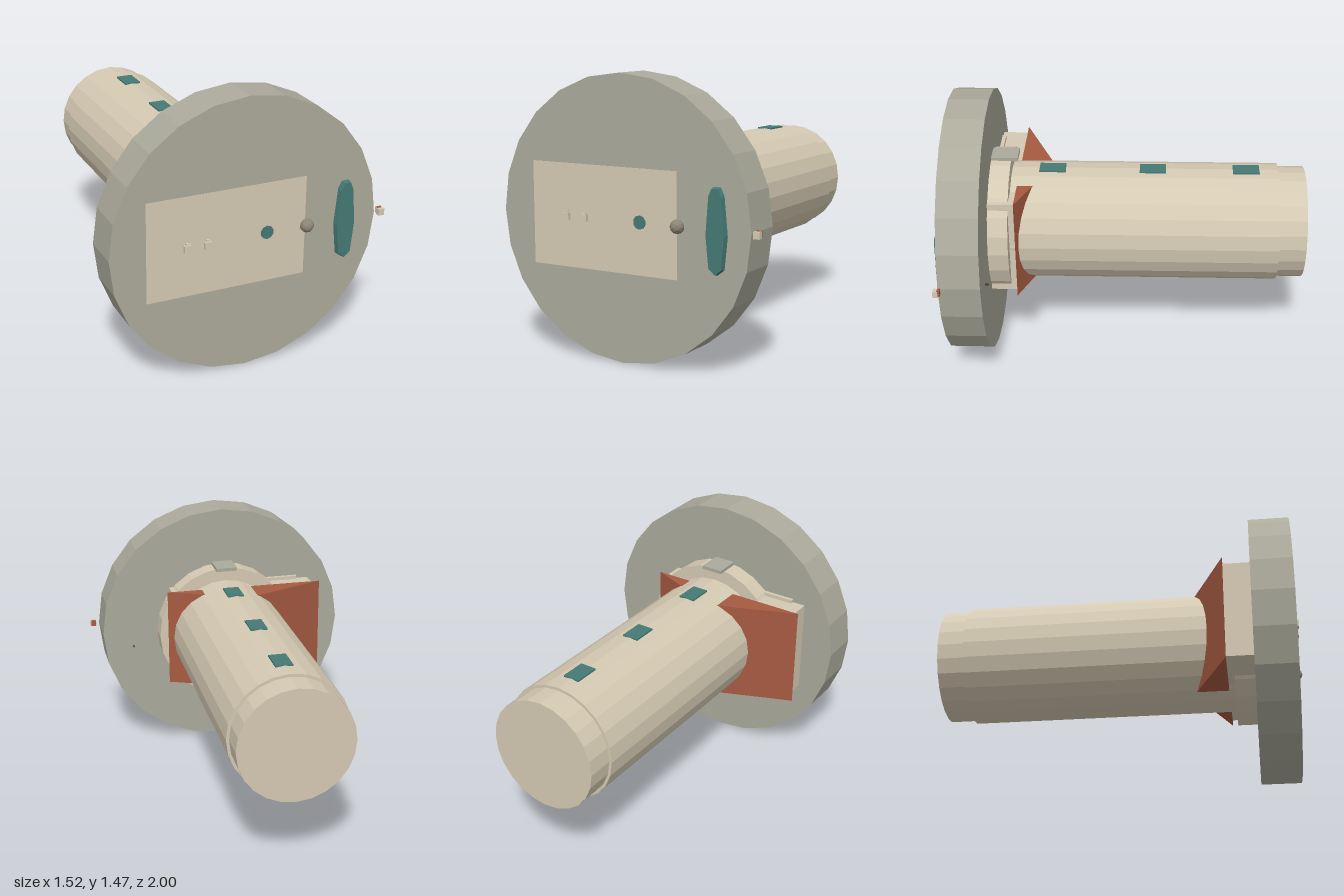
import * as THREE from 'three';

const CX = -0.03, CY = 0.74; // axis shared by all the round parts

function flat(name, color) {
  const m = new THREE.MeshStandardMaterial({ color, flatShading: true });
  m.name = name;
  return m;
}

export function createModel() {
  const group = new THREE.Group();
  const cream = flat('cream hull', 0xd4c9b2);
  const grey = flat('warm grey', 0xabaa9b);
  const teal = flat('teal glass', 0x457a74);
  const rust = flat('rust red', 0xa65a41);
  const stone = flat('stone', 0x8c8576);
  const dark = flat('dark metal', 0x3c3c38);

  function add(name, geometry, material, x = 0, y = 0, z = 0) {
    const mesh = new THREE.Mesh(geometry, material);
    mesh.name = name;
    mesh.position.set(x, y, z);
    group.add(mesh);
    return mesh;
  }
  // box given by its limits on each axis
  function box(name, material, [x0, x1], [y0, y1], [z0, z1]) {
    return add(name, new THREE.BoxGeometry(x1 - x0, y1 - y0, z1 - z0), material,
      (x0 + x1) / 2, (y0 + y1) / 2, (z0 + z1) / 2);
  }
  // drum lying along z
  function drum(name, material, r, z0, z1, x = CX, sides = 24) {
    const g = new THREE.CylinderGeometry(r, r, z1 - z0, sides).rotateX(Math.PI / 2);
    return add(name, g, material, x, CY, (z0 + z1) / 2);
  }

  // main round parts
  drum('frontDisc', grey, 0.737, 0.732, 0.953);
  drum('collar', cream, 0.405, 0.622, 0.74);
  drum('body', cream, 0.328, -0.852, 0.74);
  drum('rearCap', cream, 0.312, -1, -0.84);

  // block passing through the disc
  box('crossBlock', cream, [-0.575, 0.296], [0.47, 1.01], [0.585, 0.955]);

  // wedge fins, flat side towards the disc
  function wedge(name, tipX, innerX, backZ) {
    const s = new THREE.Shape();
    s.moveTo(tipX, -0.587);
    s.lineTo(innerX, -0.587);
    s.lineTo(innerX, -backZ);
    s.closePath();
    const g = new THREE.ExtrudeGeometry(s, { depth: 0.58, bevelEnabled: false });
    g.rotateX(-Math.PI / 2);
    add(name, g, rust, 0, 0.45, 0);
  }
  wedge('rightFin', -0.61, -0.18, 0.412);
  wedge('leftFin', 0.33, 0.12, 0.5);

  // plates behind the disc
  box('topPlate', grey, [-0.095, 0.03], [1.135, 1.155], [0.585, 0.74]);
  box('blockRidge', cream, [-0.5, -0.31], [1.0, 1.03], [0.71, 0.74]);
  box('backPin', dark, [0.521, 0.528], [0.648, 0.655], [0.712, 0.74]);

  // skylights along the top of the body
  for (const z of [-0.672, -0.157, 0.398]) {
    box('skylight', teal, [-0.075, 0.018], [1.063, 1.072], [z - 0.073, z + 0.073]);
  }

  // tall oval window, narrowing towards its front
  const half = [[0, -0.217], [0.04, -0.187], [0.058, -0.02], [0.04, 0.175], [0.02, 0.215]];
  const outline = [...half, ...half.slice(1).reverse().map(([x, y]) => [-x, y])];
  const oval = new THREE.ExtrudeGeometry(
    new THREE.Shape(outline.map(([x, y]) => new THREE.Vector2(x, y))),
    { depth: 0.03, bevelEnabled: false });
  const p = oval.attributes.position;
  for (let i = 0; i < p.count; i++) {
    if (p.getZ(i) > 0.01) p.setXY(i, p.getX(i) * 0.87, p.getY(i) * 0.97);
  }
  oval.computeVertexNormals();
  add('ovalWindow', oval, teal, 0.522, 0.735, 0.95);

  // small fittings on the front
  drum('roundWindow', teal, 0.036, 0.952, 0.96, 0.08, 10);
  add('knob', new THREE.IcosahedronGeometry(0.037, 1), stone, 0.303, CY, 0.963);
  for (const x of [-0.361, -0.251]) {
    box('stud', cream, [x - 0.018, x + 0.018], [0.717, 0.755], [0.95, 0.974]);
    box('studTip', cream, [x - 0.009, x + 0.009], [0.755, 0.764], [0.95, 0.966]);
  }

  // loose cube beside the disc
  box('sideCube', cream, [0.725, 0.758], [0.72, 0.755], [0.945, 0.972]);
  box('sideCubeBack', rust, [0.728, 0.755], [0.724, 0.758], [0.935, 0.95]);

  return group;
}
